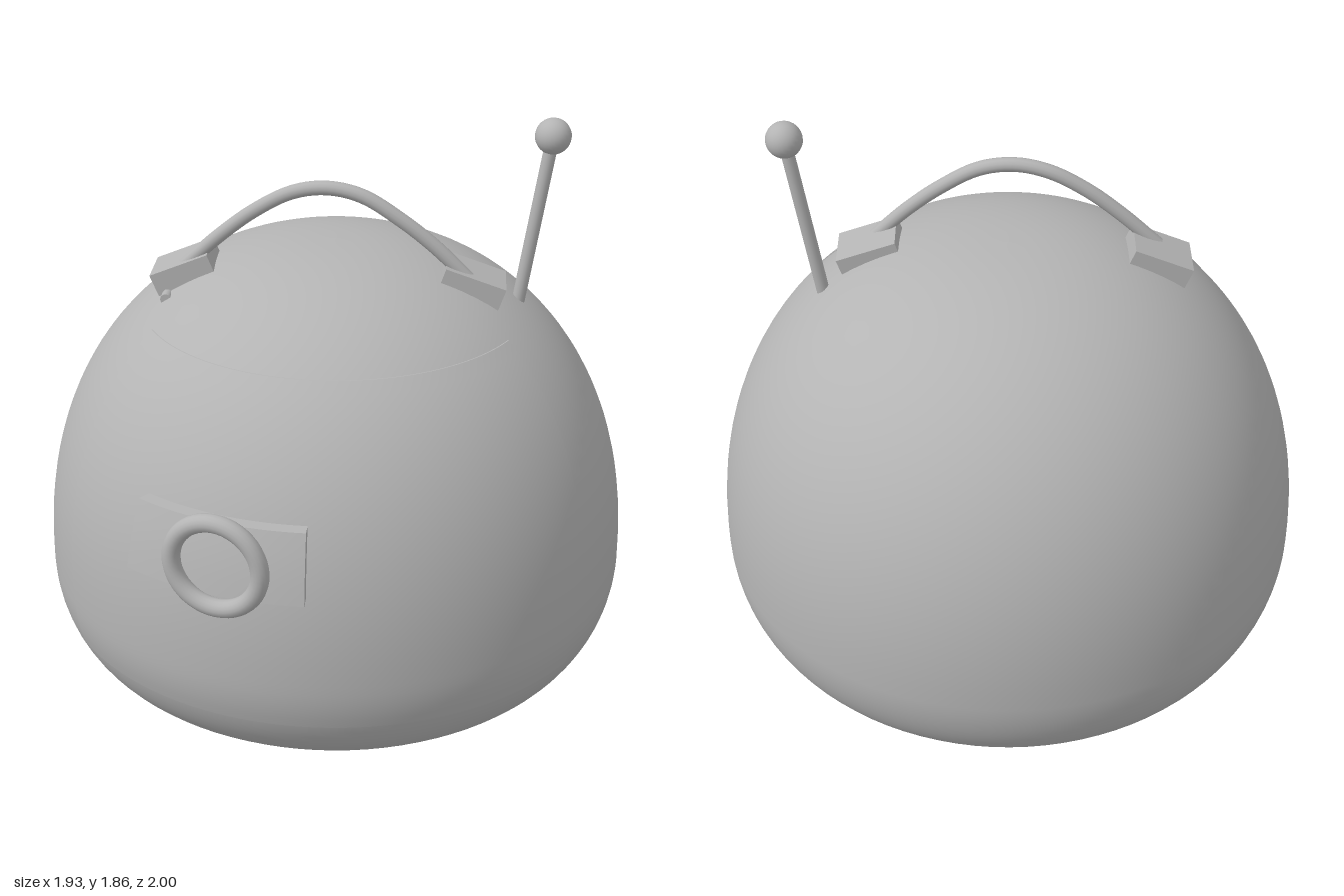
import * as THREE from 'three';

const rad = THREE.MathUtils.degToRad;
const BODY_Z = -0.03, R = 0.967, WAIST = 0.36, TOP = 1.44, N = 2.23;

// Radius of the dome at a height
function bodyRadius(y) {
  if (y < WAIST) return 0.7 + (R - 0.7) * Math.sqrt(1 - ((WAIST - y) / WAIST) ** 2);
  const t = Math.min(1, (y - WAIST) / (TOP - WAIST));
  return R * Math.pow(1 - Math.pow(t, N), 1 / N);
}

export function createModel() {
  const group = new THREE.Group();
  const grey = new THREE.MeshStandardMaterial({ color: 0xb4b4b4 });
  grey.name = 'grey';

  function add(name, geometry, x = 0, y = 0, z = 0) {
    const mesh = new THREE.Mesh(geometry, grey);
    mesh.name = name;
    mesh.position.set(x, y, z);
    group.add(mesh);
    return mesh;
  }

  // Block bent around the dome; edge(v) gives [start, end] angles at height fraction v
  function bentPlate(y0, y1, edge, inner, outer, nx, ny) {
    const g = new THREE.BoxGeometry(1, 1, 1, nx, ny, 1);
    const p = g.attributes.position;
    for (let i = 0; i < p.count; i++) {
      const v = p.getY(i) + 0.5;
      const y = y0 + (y1 - y0) * v;
      const [a, b] = edge(v);
      const angle = rad(a + (b - a) * (p.getX(i) + 0.5));
      const r = bodyRadius(y) + (p.getZ(i) > 0 ? outer : inner);
      p.setXYZ(i, r * Math.sin(angle), y, r * Math.cos(angle));
    }
    g.computeVertexNormals();
    return g;
  }

  // Dome with a rounded lower edge
  const profile = [];
  for (let i = 0; i <= 16; i++) {
    const a = (i / 16) * Math.PI / 2;
    profile.push(new THREE.Vector2(0.7 + (R - 0.7) * Math.sin(a), WAIST * (1 - Math.cos(a))));
  }
  for (let i = 1; i <= 32; i++) {
    const a = (i / 32) * Math.PI / 2;
    profile.push(new THREE.Vector2(
      i === 32 ? 0 : R * Math.pow(Math.cos(a), 2 / N),
      WAIST + (TOP - WAIST) * Math.pow(Math.sin(a), 2 / N)));
  }
  add('dome', new THREE.LatheGeometry(profile, 96), 0, 0, BODY_Z);
  const base = add('base', new THREE.CircleGeometry(0.7, 96), 0, 0, BODY_Z);
  base.rotation.x = Math.PI / 2;

  // Thin front panel lying on the dome
  const panelEdge = v => { const a = 55 + 7 * v; return [-a, a]; };
  add('frontPanel', bentPlate(0.22, 1.23, panelEdge, -0.01, 0.003, 64, 32), 0, 0, BODY_Z);

  // Curved mounting plate and ring
  add('ringPlate', bentPlate(0.67, 0.88, () => [-35.5, -1.2], -0.02, 0.045, 16, 4), 0, 0, BODY_Z);
  const ring = add('ring', new THREE.TorusGeometry(0.141, 0.028, 16, 48), -0.28, 0.785, 0.935);
  ring.rotation.y = rad(-17);

  // Handle with its two mounting blocks
  const mounts = [['rightHandleMount', -0.48, 1.35, 0.025, 22], ['leftHandleMount', 0.44, 1.35, 0.08, -19]];
  for (const [name, x, y, z, tilt] of mounts) {
    add(name, new THREE.BoxGeometry(0.2, 0.075, 0.165), x, y, z).rotation.z = rad(tilt);
  }
  const path = new THREE.CatmullRomCurve3([
    [-0.48, 1.37, 0.065], [-0.36, 1.48, 0.07], [-0.25, 1.565, 0.075], [-0.13, 1.63, 0.08],
    [-0.02, 1.65, 0.09], [0.09, 1.63, 0.1], [0.21, 1.56, 0.11], [0.32, 1.475, 0.115], [0.44, 1.36, 0.12],
  ].map(q => new THREE.Vector3(...q)));
  add('handle', new THREE.TubeGeometry(path, 48, 0.023, 12));

  // Small peg in front of the right mount
  const peg = add('peg', new THREE.CylinderGeometry(0.018, 0.018, 0.1, 12), -0.53, 1.285, 0.1);
  peg.rotation.x = Math.PI / 2;

  // Antenna rod and ball
  const foot = new THREE.Vector3(0.59, 1.24, -0.015);
  const tip = new THREE.Vector3(0.675, 1.8, -0.015);
  const rod = new THREE.LineCurve3(foot, tip);
  add('antennaRod', new THREE.TubeGeometry(rod, 1, 0.021, 16));
  add('antennaFoot', new THREE.SphereGeometry(0.021, 16, 8), foot.x, foot.y, foot.z);
  add('antennaBall', new THREE.SphereGeometry(0.057, 24, 16), tip.x, tip.y, tip.z);

  return group;
}
